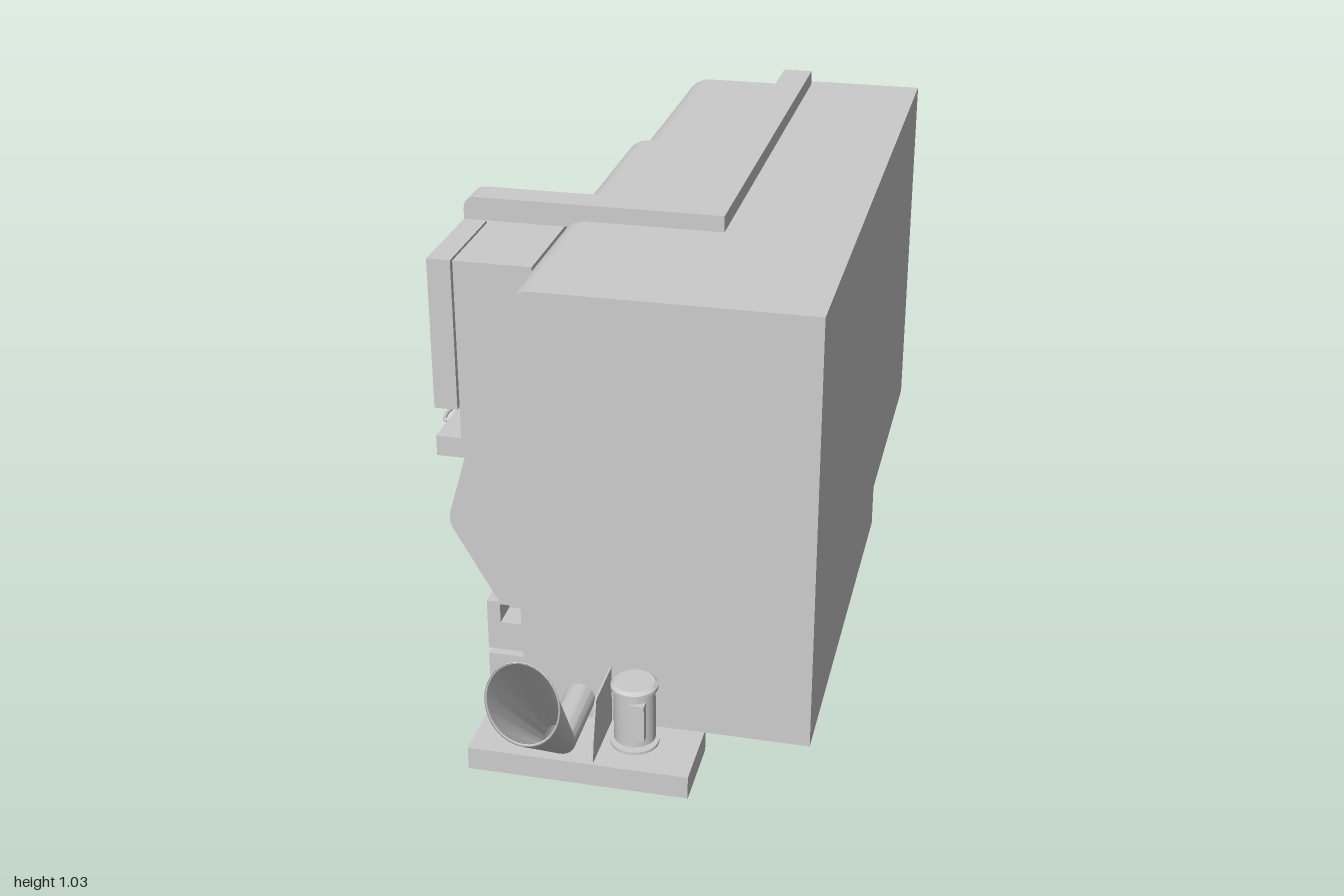
import * as THREE from 'three';
import { toCreasedNormals } from 'three/addons/utils/BufferGeometryUtils.js';
import { RoundedBoxGeometry } from 'three/addons/geometries/RoundedBoxGeometry.js';

const SLOPE = 0.286; // run per rise of the sloping door side
const TILT = -Math.atan(SLOPE);

export function createModel() {
  const model = new THREE.Group();
  const grey = new THREE.MeshStandardMaterial({ color: 0xcccccc });
  const thin = new THREE.MeshStandardMaterial({ color: 0xcccccc, side: THREE.DoubleSide });

  function add(name, geometry, x = 0, y = 0, z = 0, material = grey) {
    const mesh = new THREE.Mesh(geometry, material);
    mesh.name = name;
    mesh.position.set(x, y, z);
    model.add(mesh);
    return mesh;
  }
  // Box given by its limits
  function box(name, x0, x1, y0, y1, z0, z1) {
    return add(name, new THREE.BoxGeometry(x1 - x0, y1 - y0, z1 - z0),
      (x0 + x1) / 2, (y0 + y1) / 2, (z0 + z1) / 2);
  }
  function extrude(name, shape, z0, z1) {
    const g = new THREE.ExtrudeGeometry(shape, { depth: z1 - z0, bevelEnabled: false, curveSegments: 10 });
    return add(name, toCreasedNormals(g, 0.5), 0, 0, z0);
  }
  function rect(x0, x1, y0, y1) {
    return new THREE.Path([[x0, y0], [x1, y0], [x1, y1], [x0, y1]].map(p => new THREE.Vector2(...p)));
  }
  function tube(name, points, radius) {
    const curve = new THREE.CatmullRomCurve3(points.map(p => new THREE.Vector3(...p)), false, 'catmullrom', 0.2);
    return add(name, new THREE.TubeGeometry(curve, 40, radius, 10));
  }
  // Point on the sloping side at height y
  const slopeX = (y, inset = 0) => -0.32 + (y - 0.5) * SLOPE + inset;
  function onSlope(name, geometry, y, z, inset = 0) {
    const mesh = add(name, geometry, slopeX(y, inset), y, z);
    mesh.rotation.z = TILT;
    return mesh;
  }

  // Housing section: sloped door side, slotted skirt, raised floor
  function housing(inset, drop, floor, z0, z1, hole) {
    const s = new THREE.Shape();
    const top = 1 - drop;
    s.moveTo(0.43, floor);
    s.lineTo(0.43, 1);
    s.lineTo(0.09, 1);
    if (drop) s.lineTo(0.09, top);
    s.lineTo(-0.13 + inset, top);
    s.quadraticCurveTo(slopeX(top, inset), top, slopeX(0.955 - drop, inset), 0.955 - drop);
    s.lineTo(slopeX(0.515, inset), 0.515);
    s.quadraticCurveTo(-0.327 + inset, 0.488, -0.312 + inset, 0.462);
    for (const [x, y] of [[-0.225, 0.31], [-0.225, 0.305], [-0.25, 0.305], [-0.25, 0.192], [-0.175, 0.192],
      [-0.175, 0.179], [-0.25, 0.179], [-0.25, 0], [-0.175, 0], [-0.175, floor]]) s.lineTo(x, y);
    s.closePath();
    if (hole) s.holes.push(hole);
    extrude('housing', s, z0, z1);
  }
  housing(0.025, 0.012, 0.15, -0.94, -0.82, rect(0.157, 0.34, 0.26, 0.56));
  housing(0.025, 0.012, 0.15, -0.82, -0.36);
  housing(0, 0, 0.05, -0.36, 0.55);
  housing(0, 0, 0.05, 0.55, 0.61, rect(-0.222, -0.178, 0.257, 0.3));

  // Front base plate
  box('basePlate', -0.25, 0.21, 0, 0.05, 0.6, 0.77);

  // Overhead rail and its cross beam with a rounded outer corner
  box('roofRail', 0.09, 0.16, 0.98, 1.035, -0.91, 0.21);
  const beam = new THREE.Shape();
  beam.moveTo(-0.4, 0.985);
  beam.lineTo(0.16, 0.985);
  beam.lineTo(0.16, 1.035);
  beam.lineTo(-0.37, 1.035);
  beam.quadraticCurveTo(-0.4, 1.035, -0.4, 1.005);
  extrude('crossBeam', beam, 0.14, 0.21);

  // Operator station
  box('controlCabinet', -0.345, -0.18, 0.545, 0.985, 0.14, 0.45);
  box('controlScreen', -0.4, -0.35, 0.655, 0.985, 0.21, 0.45);
  box('screenMount', -0.36, -0.34, 0.68, 0.96, 0.23, 0.43);
  box('keyboardTray', -0.4, -0.345, 0.545, 0.59, 0.14, 0.45);
  tube('trayHandle', [[-0.395, 0.566, 0.25], [-0.425, 0.566, 0.255], [-0.431, 0.566, 0.29],
    [-0.425, 0.566, 0.325], [-0.395, 0.566, 0.33]], 0.004);

  // Door handle standing off the slope
  tube('doorHandle', [[slopeX(0.52), 0.515, 0.05], [-0.352, 0.525, 0.05], [-0.356, 0.55, 0.05],
    [-0.325, 0.66, 0.05], [-0.312, 0.685, 0.05], [slopeX(0.7), 0.69, 0.05]], 0.009);

  // Door window frame
  const frame = new THREE.Shape([[-0.065, -0.095], [0.065, -0.095], [0.065, 0.095], [-0.065, 0.095]]
    .map(p => new THREE.Vector2(...p)));
  frame.holes.push(rect(-0.055, 0.055, -0.085, 0.085));
  const frameGeo = new THREE.ExtrudeGeometry(frame, { depth: 0.004, bevelEnabled: false });
  frameGeo.rotateY(-Math.PI / 2);
  onSlope('windowFrame', frameGeo, 0.78, -0.085);

  // Rear side panel with two gauges
  onSlope('sidePanel', new RoundedBoxGeometry(0.01, 0.15, 0.12, 2, 0.004), 0.72, -0.765, 0.025);
  for (const z of [-0.795, -0.735]) {
    const gauge = onSlope('gauge', new THREE.CylinderGeometry(0.02, 0.02, 0.016, 20), 0.835, z, 0.025);
    gauge.rotation.z = TILT + Math.PI / 2;
  }

  // Back cover and chamfered connector box
  add('backCover', new RoundedBoxGeometry(0.23, 0.18, 0.008, 2, 0.003), 0.035, 0.855, -0.941);
  const plug = new THREE.Shape([[-0.94, 0.55], [-0.94, 0.65], [-0.985, 0.65], [-1, 0.63], [-1, 0.56]]
    .map(p => new THREE.Vector2(-p[0], p[1])));
  const plugGeo = new THREE.ExtrudeGeometry(plug, { depth: 0.13, bevelEnabled: false });
  plugGeo.rotateY(Math.PI / 2);
  add('connectorBox', plugGeo, -0.04, 0, 0);

  // Discharge chute: round neck flaring to an oval mouth
  const rings = [[0.6, 0.098, 0.032, 0.033], [0.765, 0.098, 0.033, 0.035], [1, 0.335, 0.073, 0.093]];
  const N = 32, pos = [], idx = [];
  rings.forEach(([z, y, rx, ry], r) => {
    for (let i = 0; i <= N; i++) {
      const a = i / N * Math.PI * 2;
      pos.push(-0.055 + rx * Math.cos(a), y + ry * Math.sin(a), z);
      if (r && i < N) {
        const b = r * (N + 1) + i, c = b - N - 1;
        idx.push(c, c + 1, b, c + 1, b + 1, b);
      }
    }
  });
  const chute = new THREE.BufferGeometry();
  chute.setAttribute('position', new THREE.Float32BufferAttribute(pos, 3));
  chute.setIndex(idx);
  add('chute', toCreasedNormals(chute, 0.5), 0, 0, 0, thin);
  const rim = add('chuteRim', new THREE.TorusGeometry(0.071, 0.002, 8, 40), -0.055, 0.335, 0.997);
  rim.scale.y = 1.28;

  // Upright divider plate beside the chute
  const plate = new THREE.Shape([[-0.61, 0.05], [-0.765, 0.05], [-0.755, 0.1], [-0.73, 0.18], [-0.61, 0.18]]
    .map(p => new THREE.Vector2(-p[0], p[1])));
  const plateGeo = new THREE.ExtrudeGeometry(plate, { depth: 0.004, bevelEnabled: false });
  plateGeo.rotateY(-Math.PI / 2);
  add('dividerPlate', plateGeo, 0.013, 0, 0);

  // Round pump canister with foot, lid and front plate
  const profile = [[0, 0.05], [0.05, 0.05], [0.05, 0.056], [0.028, 0.056], [0.028, 0.064], [0.043, 0.064],
    [0.043, 0.183], [0.049, 0.183], [0.049, 0.19], [0.042, 0.196], [0, 0.196]].map(p => new THREE.Vector2(...p));
  add('canister', toCreasedNormals(new THREE.LatheGeometry(profile, 32), 0.5), 0.077, 0, 0.67);
  box('canisterPlate', 0.078, 0.108, 0.085, 0.168, 0.69, 0.719);

  return model;
}
